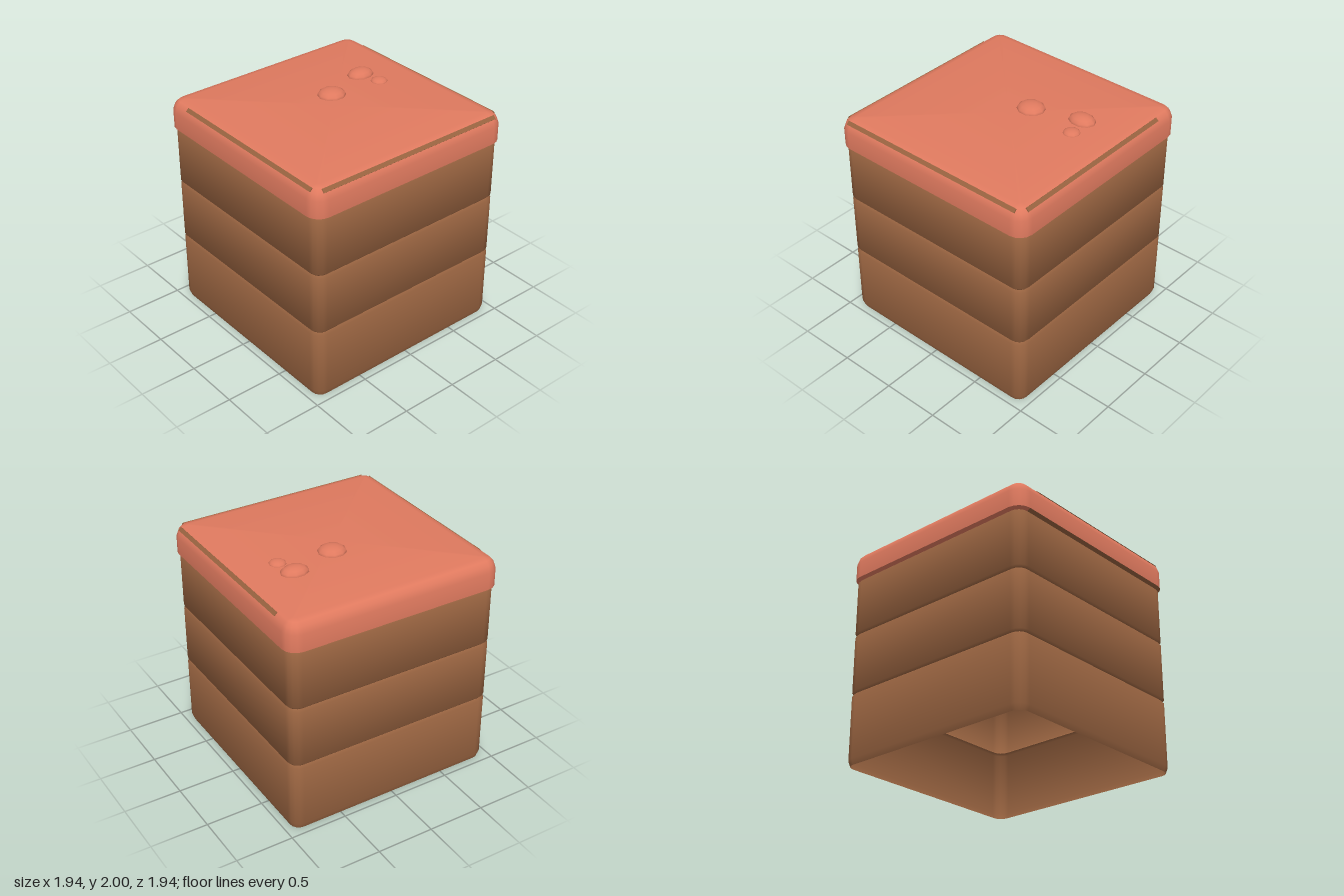
import * as THREE from 'three';

const CORE = 0.85; // half size of the square that the corner arcs are centred on
const SEG = 4;     // segments per rounded corner

// Skin of rounded-square rings from a profile of [half size, height], bottom to top.
// keep(z) chooses which faces stay, by the z of their middle.
function loft(profile, keep = () => true) {
  const pos = [], nor = [], index = [], n = 4 * (SEG + 1);
  const edge = (i) => {
    const [a, b] = [profile[i], profile[i + 1]];
    return a && b ? new THREE.Vector2(b[1] - a[1], a[0] - b[0]).normalize() : new THREE.Vector2();
  };
  profile.forEach(([half, y], i) => {
    const pn = edge(i - 1).add(edge(i)).normalize();
    const core = Math.min(CORE, half), r = half - core;
    for (let c = 0; c < 4; c++) {
      const mid = (c + 0.5) * Math.PI / 2;
      for (let s = 0; s <= SEG; s++) {
        const a = (c + s / SEG) * Math.PI / 2;
        pos.push(core * Math.sign(Math.cos(mid)) + r * Math.cos(a), y,
          core * Math.sign(Math.sin(mid)) + r * Math.sin(a));
        nor.push(pn.x * Math.cos(a), pn.y, pn.x * Math.sin(a));
      }
    }
  });
  for (let i = 0; i < profile.length - 1; i++) {
    for (let j = 0; j < n; j++) {
      const k = (j + 1) % n;
      const a = i * n + j, b = i * n + k, c = a - j + n + k, d = a + n;
      if (keep((pos[3 * a + 2] + pos[3 * b + 2]) / 2)) index.push(a, d, b, b, d, c);
    }
  }
  const g = new THREE.BufferGeometry();
  g.setAttribute('position', new THREE.Float32BufferAttribute(pos, 3));
  g.setAttribute('normal', new THREE.Float32BufferAttribute(nor, 3));
  g.setIndex(index);
  return g;
}

export function createModel() {
  const model = new THREE.Group();
  model.name = 'stackedBox';

  const brown = new THREE.MeshStandardMaterial({ color: 0x986340, side: THREE.DoubleSide });
  brown.name = 'brown';
  const coral = new THREE.MeshStandardMaterial({ color: 0xe07a5f, side: THREE.DoubleSide });
  coral.name = 'coral';

  const add = (name, geometry, material, parent = model) => {
    const mesh = new THREE.Mesh(geometry, material);
    mesh.name = name;
    parent.add(mesh);
    return mesh;
  };

  // Three hollow tiers, open below, pinched where they meet
  const tiers = [[0, 0.63, 0.05], [0.63, 1.17, 0.02], [1.17, 1.69, 0.02]];
  tiers.forEach(([y0, y1, foot], i) => add('tier' + (i + 1), loft([
    [0.932, y0], [0.95, y0 + foot], [0.95, y1 - 0.02], [0.932, y1],
  ]), brown));

  // Lid with a rounded top edge
  const lid = new THREE.Group();
  lid.name = 'lid';
  model.add(lid);
  add('lidShell', loft([
    [0.97, 1.7], [0.97, 1.85], [0.95, 1.905], [0.92, 1.935], [0.87, 1.945], [0, 1.945],
  ]), coral, lid);

  // Lower lip of the lid: brown at the front and sides, coral at the back
  const lip = [[0.935, 1.68], [0.97, 1.7]];
  add('lidLipFront', loft(lip, (z) => z > -0.5), brown, lid);
  add('lidLipBack', loft(lip, (z) => z <= -0.5), coral, lid);

  // Thin trim strips lying on the rounded edge
  const strip = (name, length, turn, x, z) => {
    const g = new THREE.BoxGeometry(length, 0.036, 0.008);
    g.rotateX(-Math.PI / 4).rotateY(turn);
    add(name, g, brown, lid).position.set(x, 1.921, z);
  };
  strip('frontTrim', 1.76, 0, 0, 0.936);
  strip('leftTrim', 1.59, Math.PI / 2, 0.936, 0.075);
  strip('rightTrim', 1.59, -Math.PI / 2, -0.936, 0.075);

  // Flattened bumps on the lid: x, z, then radii in x, y, z
  [
    [0.1, -0.155, 0.123, 0.06, 0.117],
    [0.52, -0.285, 0.123, 0.06, 0.097],
    [0.565, -0.097, 0.073, 0.035, 0.073],
  ].forEach(([x, z, rx, ry, rz], i) => {
    const bump = add('bump' + (i + 1), new THREE.SphereGeometry(1, 10, 8), coral, lid);
    bump.scale.set(rx, ry, rz);
    bump.position.set(x, 1.94, z);
  });

  return model;
}
